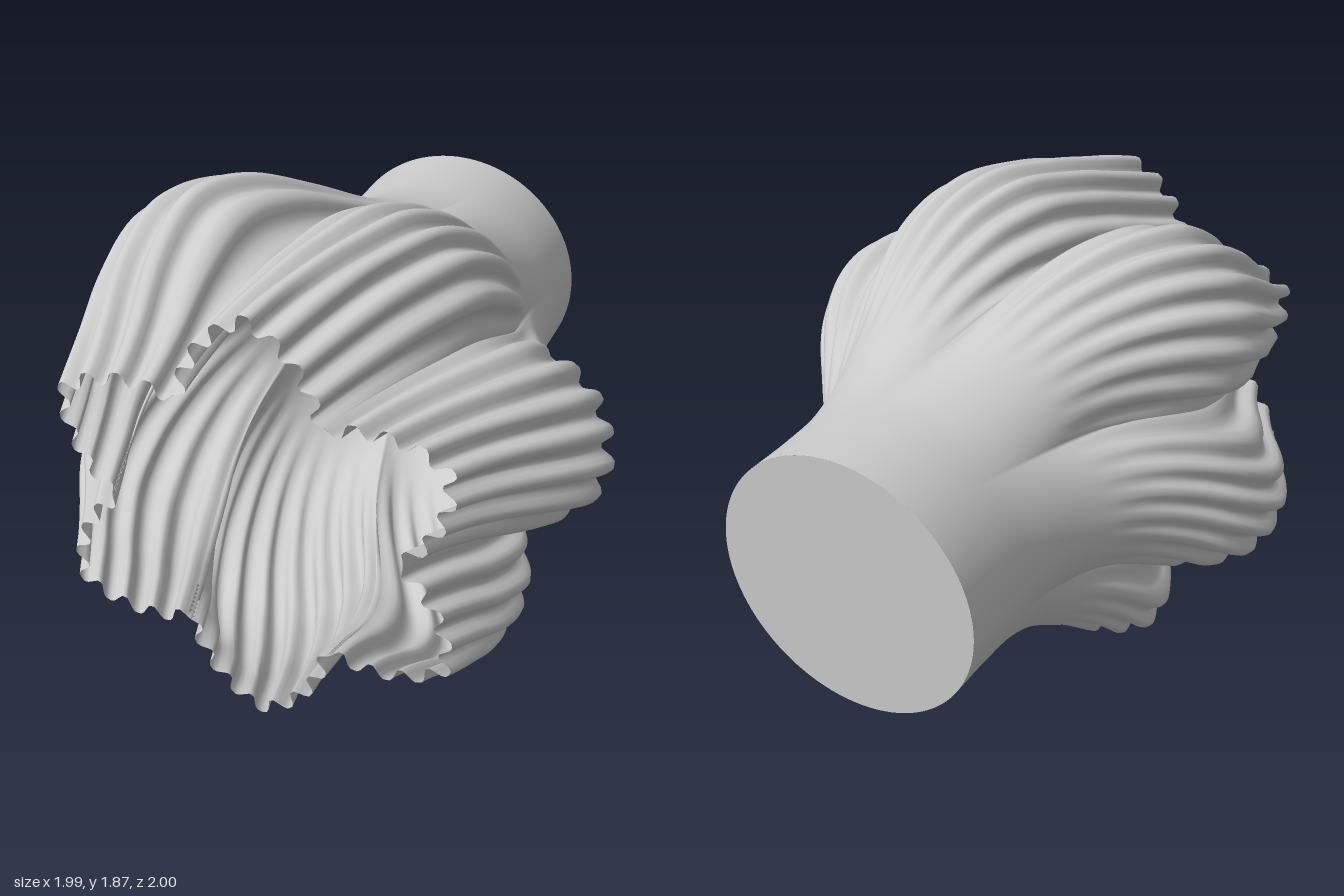
import * as THREE from 'three';

const LOBES = 6, RIBS = 48, AROUND = 480, ALONG = 80;

// Profile stations along z: [z, valley radius, crest radius]
const STATIONS = [
  [-1, 0.497, 0.497], [-0.8, 0.497, 0.497], [-0.6, 0.5, 0.51], [-0.4, 0.52, 0.565], [-0.2, 0.555, 0.67],
  [0, 0.605, 0.80], [0.2, 0.64, 0.925], [0.38, 0.645, 0.97], [0.6, 0.61, 0.92], [0.8, 0.55, 0.84], [1, 0.495, 0.765],
];
const profile = new THREE.CatmullRomCurve3(STATIONS.map(s => new THREE.Vector3(...s)), false, 'centripetal');
const smooth = THREE.MathUtils.smoothstep;

// Relative bulge and sideways lean of each lobe at the belly, counted from the right of the mouth
const BULGE = [1.06, 0.88, 1.16, 1.02, 1.05, 0.84];
const LEAN = [0.1, 0.35, 0.35, 0.25, 0.75, 0.3];
const belly = z => smooth(z, -0.5, 0.35) * (1 - smooth(z, 0.4, 1));

// Lobed cross-section without ribs: broad round lobes at the belly, pointed at the mouth
function sectionPoint(a, z, valley, crest) {
  const lobe = a * LOBES / (2 * Math.PI) + LOBES;
  const k = Math.floor(lobe) % LOBES, v = lobe % 1;
  const u = v + LEAN[k] * belly(z) * v * (1 - v);
  const power = 2.5 - 1.2 * smooth(z, 0.3, 1);
  const bulge = 1 + (BULGE[k] - 1) * belly(z);
  const r = valley + (crest - valley) * bulge * (1 - Math.pow(Math.abs(2 * u - 1), power));
  const twist = 24.5 * (1 - z) + 5 * (1 - smooth(z, -0.2, 0.4));
  const turn = a - THREE.MathUtils.degToRad(twist);
  return new THREE.Vector2(r * Math.cos(turn), r * Math.sin(turn));
}

// Twisted, lobed wall with ribs pushed out along the section normal
function wallGeometry() {
  const pos = [], index = [], e = 0.012;
  for (let j = 0; j <= ALONG; j++) {
    const { x: z, y: valley, z: crest } = profile.getPoint(j / ALONG);
    const depth = 0.024 * smooth(z, -0.35, 0.3);
    const sag = -0.025 * smooth(z, -0.5, 0.4) * (1 - 0.6 * smooth(z, 0.5, 1));
    const shift = 0.02 * belly(z);
    for (let i = 0; i < AROUND; i++) {
      const a = i / AROUND * Math.PI * 2;
      const p = sectionPoint(a, z, valley, crest);
      const t = sectionPoint(a + e, z, valley, crest).sub(sectionPoint(a - e, z, valley, crest)).normalize();
      const rib = depth * THREE.MathUtils.clamp(1.35 * Math.cos(a * RIBS) + 0.15, -1, 1);
      pos.push(p.x + t.y * rib - 0.03 + shift, p.y - t.x * rib + 1 + sag, z);
      if (j < ALONG) {
        const n = (i + 1) % AROUND, b = j * AROUND, c = b + AROUND;
        index.push(b + i, b + n, c + n, b + i, c + n, c + i);
      }
    }
  }
  const g = new THREE.BufferGeometry();
  g.setAttribute('position', new THREE.Float32BufferAttribute(pos, 3));
  g.setIndex(index);
  g.computeVertexNormals();
  return g;
}

export function createModel() {
  const group = new THREE.Group();
  group.name = 'twistedVase';
  const material = new THREE.MeshStandardMaterial({ color: 0xcccccc, side: THREE.DoubleSide });

  const wall = new THREE.Mesh(wallGeometry(), material);
  wall.name = 'vaseWall';
  group.add(wall);

  // Flat base closing the narrow end
  const base = new THREE.Mesh(new THREE.CircleGeometry(0.497, 96), material);
  base.name = 'vaseBase';
  base.rotation.y = Math.PI;
  base.position.set(-0.03, 1, -1);
  group.add(base);
  return group;
}
